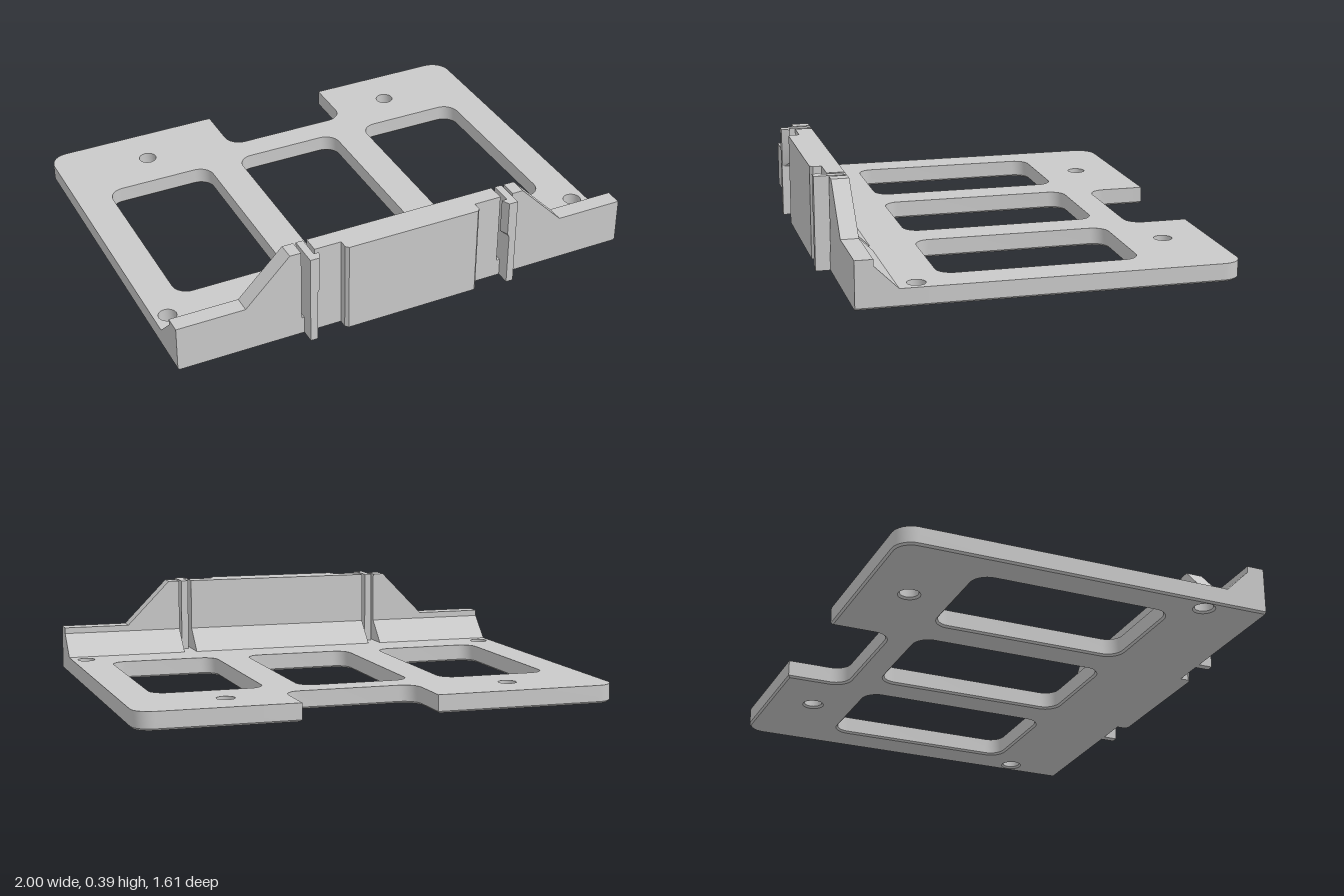
import * as THREE from 'three';
import { toCreasedNormals } from 'three/addons/utils/BufferGeometryUtils.js';

const grey = new THREE.MeshStandardMaterial({ color: 0xc9c9c9 });
grey.name = 'grey plastic';

// Closed outline through [x, y, radius] corners, with rounded corners where radius > 0
function outline(corners, PathType = THREE.Shape) {
  const path = new PathType();
  const n = corners.length;
  corners.forEach(([x, y, r = 0], i) => {
    const p = new THREE.Vector2(x, y);
    const prev = new THREE.Vector2(...corners[(i + n - 1) % n].slice(0, 2));
    const next = new THREE.Vector2(...corners[(i + 1) % n].slice(0, 2));
    const along = (q, d) => p.clone().add(q.clone().sub(p).setLength(d));
    const a = along(prev, r);
    if (i === 0) path.moveTo(a.x, a.y);
    else path.lineTo(a.x, a.y);
    if (r > 0) {
      const c = along(prev, r * 0.448), d = along(next, r * 0.448), b = along(next, r);
      path.bezierCurveTo(c.x, c.y, d.x, d.y, b.x, b.y);
    }
  });
  path.closePath();
  return path;
}

// Outline drawn on the floor as [x, z, radius]
const plan = (pts, PathType) => outline(pts.map(([x, z, r]) => [x, -z, r]), PathType);

function extrude(shape, depth, options = {}) {
  return new THREE.ExtrudeGeometry(shape, { depth, bevelEnabled: false, curveSegments: 8, ...options });
}

export function createModel() {
  const model = new THREE.Group();
  const add = (name, geometry) => {
    const mesh = new THREE.Mesh(toCreasedNormals(geometry, 0.5), grey);
    mesh.name = name;
    model.add(mesh);
  };

  // Base plate with rear notch, three windows and four screw holes
  const plate = plan([
    [1, 0.745], [1, -0.805, 0.08], [0.342, -0.805], [0.342, -0.55, 0.07],
    [-0.22, -0.55, 0.07], [-0.22, -0.805], [-1, -0.805, 0.08], [-1, 0.745],
  ]);
  for (const [x0, x1] of [[-0.855, -0.385], [-0.24, 0.235], [0.38, 0.85]]) {
    const r = 0.065;
    plate.holes.push(plan([[x0, -0.43, r], [x1, -0.43, r], [x1, 0.39, r], [x0, 0.39, r]], THREE.Path));
  }
  for (const [x, z] of [[-0.6, -0.613], [0.595, -0.613], [-0.942, 0.497], [0.938, 0.497]]) {
    plate.holes.push(new THREE.Path().absarc(x, -z, 0.038, 0, Math.PI * 2));
  }
  const bevel = 0.008;
  add('basePlate', extrude(plate, 0.075 - bevel).rotateX(-Math.PI / 2).translate(0, bevel, 0));

  // Chamfered underside; its upper half sits inside the plate
  add('plateUnderside', extrude(plate, 0.001, {
    bevelEnabled: true, bevelThickness: bevel, bevelSize: bevel, bevelOffset: -bevel, bevelSegments: 1,
  }).rotateX(-Math.PI / 2).translate(0, bevel, 0));

  // Front wall: low ends, sloped shoulders and two clip slots
  const half = [
    [0.415, 0.39], [0.415, 0.075], [0.472, 0.075], [0.472, 0.39],
    [0.52, 0.39], [0.71, 0.196], [1, 0.196], [1, bevel], [1 - bevel, 0],
  ];
  const wall = outline([...half, ...half.map(([x, y]) => [-x, y]).reverse()]);
  add('frontWall', extrude(wall, 0.073).translate(0, 0, 0.672));

  // Sloped braces behind the wall, interrupted at the slots
  const brace = outline([[0.575, 0.07], [0.575, 0.075], [0.672, 0.17], [0.68, 0.17], [0.68, 0.07]]);
  for (const [x0, x1] of [[-1, -0.472], [-0.415, 0.415], [0.472, 1]]) {
    add('wallBrace', extrude(brace, x1 - x0).rotateY(-Math.PI / 2).translate(x1, 0, 0));
  }

  // Raised pad in the middle of the wall, with chamfered front corners
  const pad = plan([
    [-0.3, 0.74], [0.297, 0.74], [0.297, 0.78], [0.285, 0.793], [-0.288, 0.793], [-0.3, 0.78],
  ]);
  add('centerPad', extrude(pad, 0.39).rotateX(-Math.PI / 2));

  // Snap clips with inward hooks
  for (const side of [-1, 1]) {
    add('clipStem', new THREE.BoxGeometry(0.031, 0.39, 0.133).translate(side * 0.4455, 0.195, 0.7385));
    const hook = extrude(outline([
      [side * 0.435, 0.39], [side * 0.407, 0.39], [side * 0.407, 0.242], [side * 0.435, 0.217],
    ]), 0.035).translate(0, 0, 0.77);
    // Slant the leading edge of the hook
    const pos = hook.attributes.position;
    for (let i = 0; i < pos.count; i++) {
      if (Math.abs(pos.getX(i)) < 0.41 && pos.getZ(i) > 0.8) pos.setX(i, side * 0.422);
    }
    add('clipHook', hook);
  }

  return model;
}
